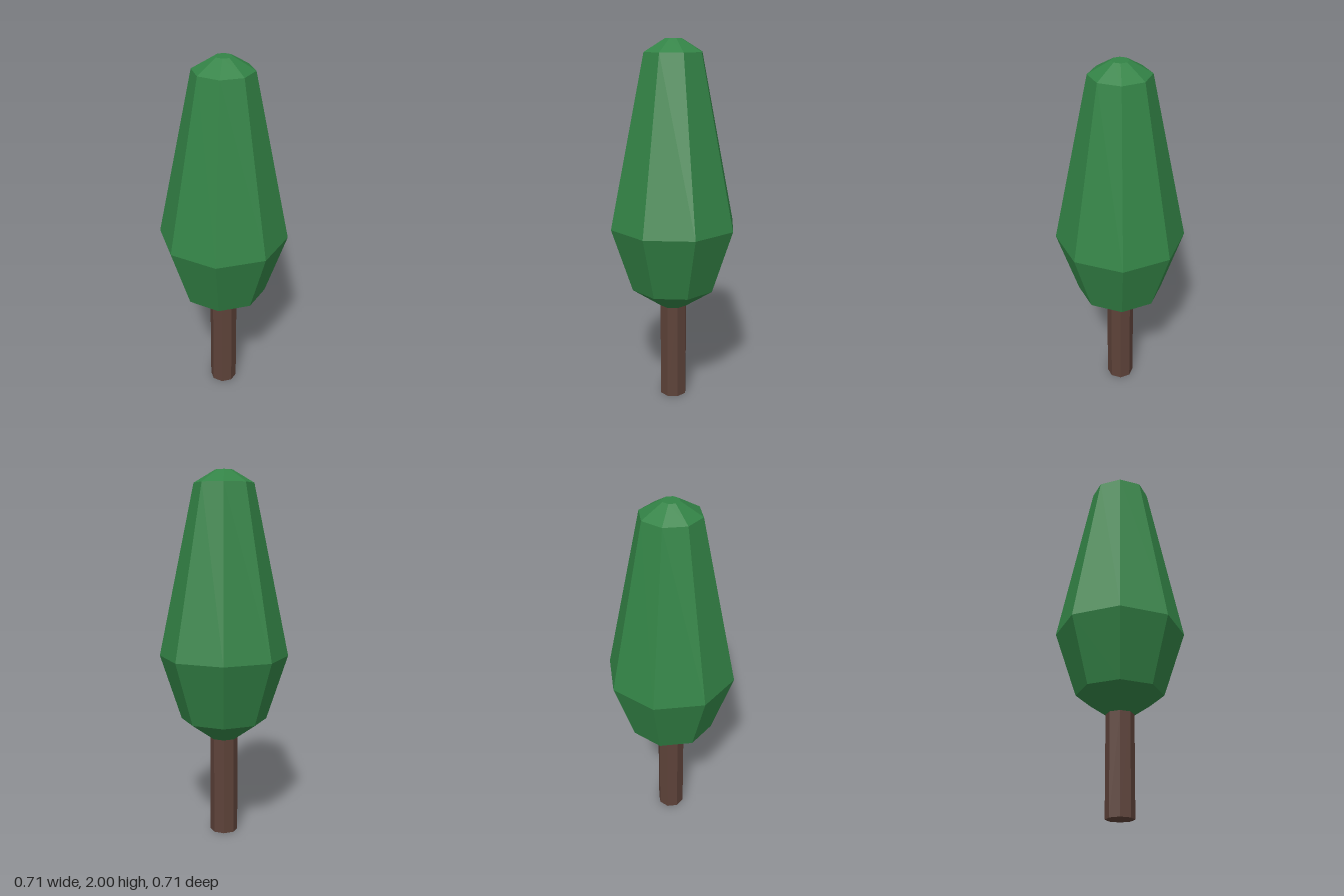
import * as THREE from 'three';

const SIDES = 8;

export function createModel() {
  const tree = new THREE.Group();
  tree.name = 'tree';

  const addPart = (name, geometry, color) => {
    const mesh = new THREE.Mesh(
      geometry,
      new THREE.MeshStandardMaterial({ color, flatShading: true })
    );
    mesh.name = name;
    tree.add(mesh);
    return mesh;
  };

  // Straight octagonal trunk, meeting the underside of the crown
  const trunkHeight = 0.545;
  const trunk = addPart('trunk', new THREE.CylinderGeometry(0.076, 0.076, trunkHeight, SIDES), 0x5d4239);
  trunk.position.y = trunkHeight / 2;

  // Faceted crown: [radius, height] from the underside to the flat tip
  const profile = [
    [0, 0.543],
    [0.078, 0.543],
    [0.236, 0.65],
    [0.353, 1.005],
    [0.161, 1.932],
    [0.046, 2],
    [0, 2],
  ].map(([r, y]) => new THREE.Vector2(r, y));
  addPart('crown', new THREE.LatheGeometry(profile, SIDES), 0x338346);

  return tree;
}
